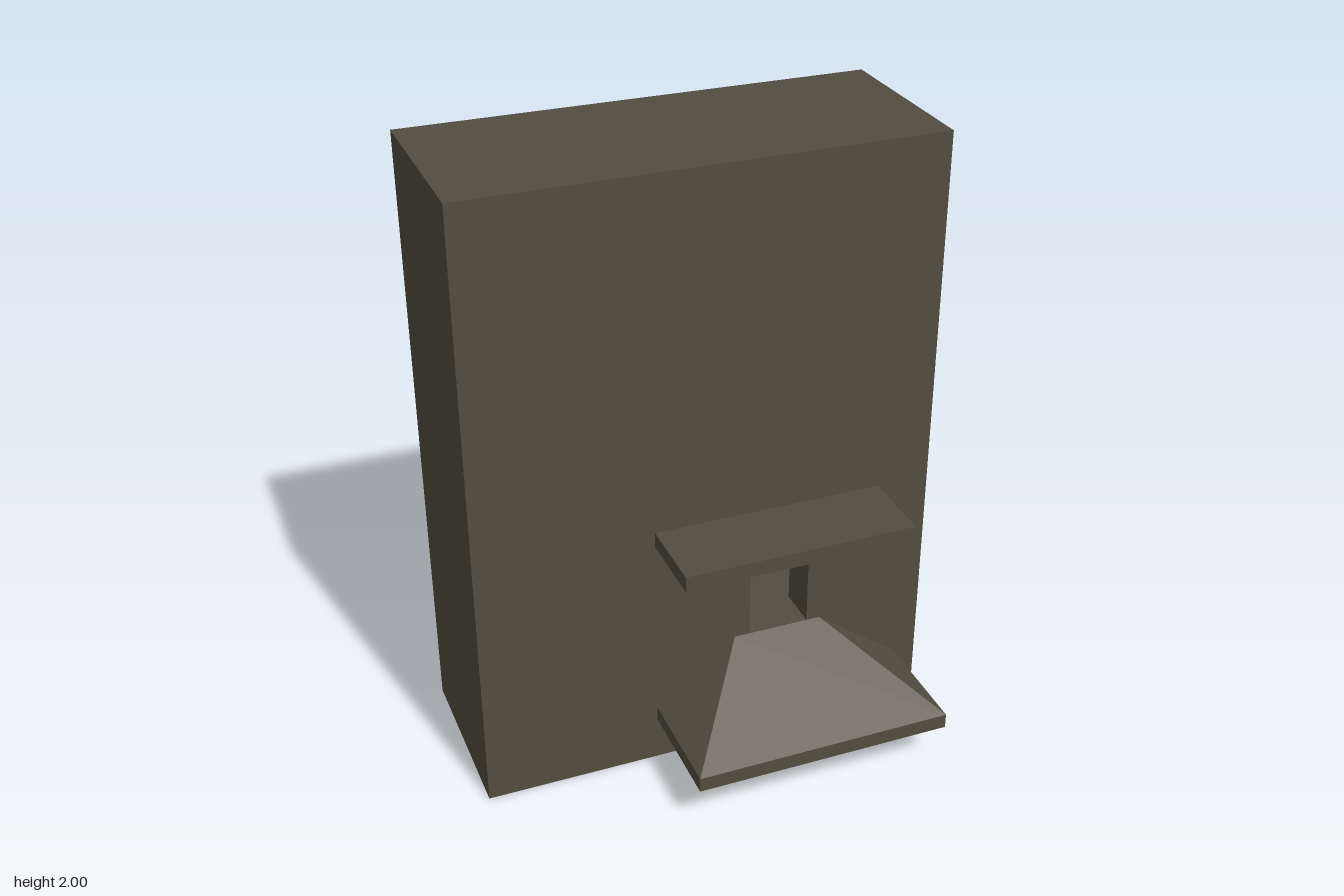
import * as THREE from 'three';
import { mergeGeometries } from 'three/addons/utils/BufferGeometryUtils.js';
import { ConvexGeometry } from 'three/addons/geometries/ConvexGeometry.js';

const BACK = -0.48, INNER = -0.03, FRONT = 0.11;

// Rectangles are [x0, x1, y0, y1]
const corners = ([x0, x1, y0, y1]) => [[x0, y0], [x1, y0], [x1, y1], [x0, y1]];
const toPoints = (list, sx) => list.map(([x, y]) => new THREE.Vector2(x * sx, y));

// Flat wall face with a rectangular opening, facing +z or -z
function face(outer, hole, z, facesBack = false) {
  const sx = facesBack ? -1 : 1;
  const shape = new THREE.Shape(toPoints(corners(outer), sx));
  shape.holes.push(new THREE.Path(toPoints(corners(hole), sx)));
  const g = new THREE.ShapeGeometry(shape);
  if (facesBack) g.rotateY(Math.PI);
  g.translate(0, 0, z);
  g.deleteAttribute('uv');
  return g.toNonIndexed();
}

// Four sides running between two depths, facing outward or into an opening
function sides(rect, z0, z1, inward = false) {
  const c = corners(rect);
  if (inward) c.reverse();
  const pos = [];
  c.forEach((a, i) => {
    const b = c[(i + 1) % 4];
    pos.push(...a, z0, ...b, z0, ...b, z1, ...a, z0, ...b, z1, ...a, z1);
  });
  const g = new THREE.BufferGeometry();
  g.setAttribute('position', new THREE.Float32BufferAttribute(pos, 3));
  g.computeVertexNormals();
  return g;
}

export function createModel() {
  const model = new THREE.Group();
  model.name = 'wallWithWindowSlot';
  const stone = new THREE.MeshStandardMaterial({ color: 0x524d3f });
  stone.name = 'dark stone';

  const add = (name, geometry) => {
    const mesh = new THREE.Mesh(geometry, stone);
    mesh.name = name;
    model.add(mesh);
    return mesh;
  };

  // Thick wall: wide recess from the back, narrow slot through to the front
  const outline = [-0.742, 0.742, 0, 2];
  const recess = [-0.503, 0.567, 0.37, 1.09];
  const slot = [0.14, 0.34, 0.405, 0.72];
  add('wall', mergeGeometries([
    face(outline, slot, FRONT),
    face(outline, recess, BACK, true),
    face(recess, slot, INNER, true),
    sides(outline, BACK, FRONT),
    sides(recess, BACK, INNER, true),
    sides(slot, INNER, FRONT, true),
  ]));

  // Flat shelf above the slot
  add('shelf', new THREE.BoxGeometry(0.745, 0.05, 0.255))
    .position.set(0.1975, 0.835, FRONT + 0.1275);

  // Sloping sill: thin plate below, rising to a ridge against the wall
  const points = [new THREE.Vector3(0.09, 0.405, FRONT), new THREE.Vector3(0.385, 0.405, FRONT)];
  for (const x of [-0.175, 0.665])
    for (const y of [0.148, 0.197])
      for (const z of [FRONT, 0.48]) points.push(new THREE.Vector3(x, y, z));
  add('slopingSill', new ConvexGeometry(points));

  return model;
}
